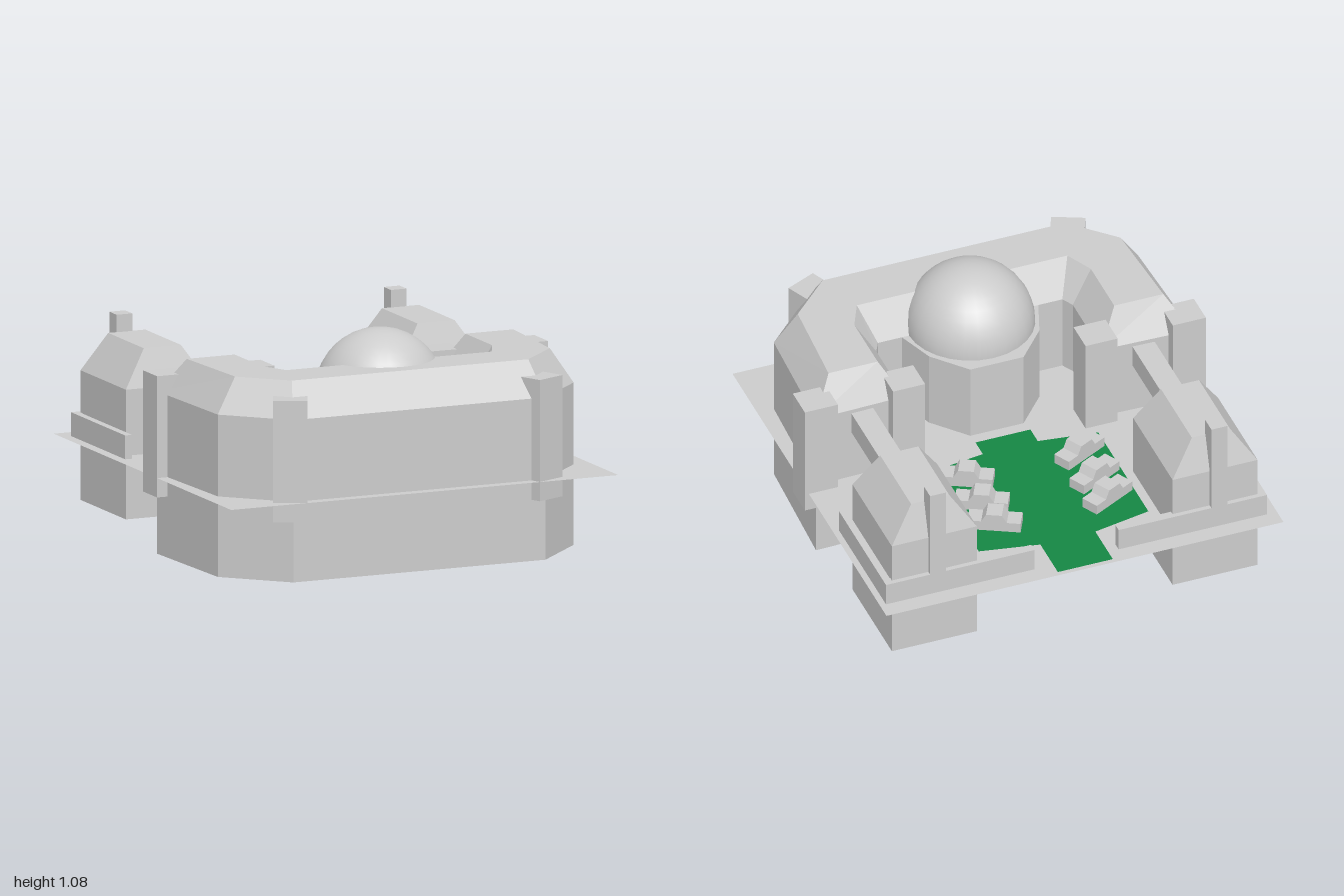
import * as THREE from 'three';

const CX = -0.013; // symmetry line of the main building
const grey = new THREE.MeshStandardMaterial({ color: 0xcccccc, flatShading: true });
const smooth = new THREE.MeshStandardMaterial({ color: 0xcccccc });
const sheet = new THREE.MeshStandardMaterial({ color: 0xcccccc, side: THREE.DoubleSide });
const green = new THREE.MeshStandardMaterial({ color: 0x158644, side: THREE.DoubleSide });

function add(parent, name, geometry, material = grey) {
  const mesh = new THREE.Mesh(geometry, material);
  mesh.name = name;
  parent.add(mesh);
  return mesh;
}

// Axis-aligned box given by its limits
function box(parent, name, [x0, x1], [y0, y1], [z0, z1]) {
  const mesh = add(parent, name, new THREE.BoxGeometry(Math.abs(x1 - x0), y1 - y0, z1 - z0));
  mesh.position.set((x0 + x1) / 2, (y0 + y1) / 2, (z0 + z1) / 2);
  return mesh;
}

// Completes an outline of [x, z] points by mirroring it across x = cx
const mirrored = (half, cx) => [
  ...half.map(([x, z]) => [cx + x, z]),
  ...half.slice().reverse().map(([x, z]) => [cx - x, z]),
];

// Closed solid through stacked outlines, counter-clockwise from above: [{ y, pts }]
function loft(rings) {
  const v = [];
  const put = (r, i) => v.push(r.pts[i][0], r.y, r.pts[i][1]);
  const n = rings[0].pts.length;
  for (let k = 0; k < rings.length - 1; k++) {
    const a = rings[k], b = rings[k + 1];
    for (let i = 0; i < n; i++) {
      const j = (i + 1) % n;
      put(a, i); put(a, j); put(b, j);
      put(a, i); put(b, j); put(b, i);
    }
  }
  const cap = (r, up) => {
    const flat = r.pts.map(([x, z]) => new THREE.Vector2(x, -z));
    for (const [a, b, c] of THREE.ShapeUtils.triangulateShape(flat, [])) {
      (up ? [a, b, c] : [a, c, b]).forEach((i) => put(r, i));
    }
  };
  cap(rings[0], false);
  cap(rings[rings.length - 1], true);
  const geo = new THREE.BufferGeometry();
  geo.setAttribute('position', new THREE.Float32BufferAttribute(v, 3));
  geo.computeVertexNormals();
  return geo;
}

const rect = (cx, w, z0, z1) => mirrored([[w, z1], [w, z0]], cx);

function mainBuilding(parent) {
  // U-shaped hall with a sloping roof edge
  const wall = mirrored([[0.645, 0.93], [0.91, 0.665], [0.938, 0.05], [0.49, 0.062], [0.49, 0.43], [0.46, 0.487]], CX);
  const roof = mirrored([[0.605, 0.825], [0.805, 0.628], [0.835, 0.155], [0.59, 0.155], [0.59, 0.455], [0.525, 0.59]], CX);
  add(parent, 'hall', loft([{ y: 0, pts: wall }, { y: 0.77, pts: wall }, { y: 0.935, pts: roof }]));

  // Faceted drum and dome
  const drum = mirrored([[0.345, 0.5], [0.275, 0.305], [0.133, 0.142]], CX);
  add(parent, 'domeDrum', loft([{ y: 0, pts: drum }, { y: 0.77, pts: drum }]));
  const dome = add(parent, 'dome', new THREE.SphereGeometry(0.305, 28, 10, 0, Math.PI * 2, 0, Math.PI / 2), smooth);
  dome.position.set(CX, 0.77, 0.49);

  for (const s of [-1, 1]) {
    // Pillars at the ends of each wing and at the front corners
    box(parent, 'outerPillar', [s * 0.835, s], [0.29, 0.865], [0, 0.155]);
    box(parent, 'innerPillar', [s * 0.4, s * 0.56], [0.29, 0.865], [0, 0.155]);
    const pillar = add(parent, 'frontPillar', new THREE.BoxGeometry(0.16, 0.575, 0.125));
    pillar.position.set(CX + s * 0.642, 0.5775, 0.888);
    pillar.rotation.y = s * 0.42;
  }
}

function rearPods(parent) {
  for (const s of [-1, 1]) {
    const side = new THREE.Group();
    side.name = s < 0 ? 'rightPod' : 'leftPod';
    parent.add(side);

    // Pod with hipped top
    const x = s * 0.7;
    const base = rect(x, 0.212, -0.892, -0.385);
    const top = rect(x, 0.095, -0.838, -0.44);
    add(side, 'pod', loft([{ y: 0.08, pts: base }, { y: 0.695, pts: base }, { y: 0.872, pts: top }]));

    // Chimney and link corridor to the hall
    const cx = s < 0 ? -0.713 : 0.69;
    box(side, 'chimney', [cx - 0.04, cx + 0.04], [0.375, 0.955], [-0.915, -0.835]);
    box(side, 'corridor', [cx - 0.053, cx + 0.057], [0.64, 0.75], [-0.42, 0.2]);

    // Perimeter walls
    box(side, 'rearWall', [s * 0.21, s * 0.95], [0.375, 0.495], [-0.915, -0.872]);
    box(side, 'sideWall', [s * 0.915, s * 0.95], [0.375, 0.495], [-0.915, -0.31]);
  }
}

function cars(parent) {
  // Car side profile: low body with a tapered cabin
  const profile = new THREE.Shape([
    [-0.125, 0], [0.125, 0], [0.125, 0.05], [0.06, 0.05], [0.037, 0.09],
    [-0.037, 0.09], [-0.06, 0.05], [-0.125, 0.05],
  ].map(([x, y]) => new THREE.Vector2(x, y)));
  const geo = new THREE.ExtrudeGeometry(profile, { depth: 0.09, bevelEnabled: false });
  geo.translate(0, 0, -0.045);
  for (const s of [-1, 1]) {
    for (const z of [-0.555, -0.39, -0.195]) {
      const car = add(parent, 'parkedCar', geo);
      car.position.set(CX + s * 0.28, 0.4, z);
      car.rotation.y = -s * 0.48;
    }
  }
}

export function createModel() {
  const model = new THREE.Group();
  model.name = 'compound';

  // Ground sheet
  const ground = add(model, 'groundSheet', new THREE.PlaneGeometry(1.98, 1.98), sheet);
  ground.rotation.x = -Math.PI / 2;
  ground.position.set(-0.01, 0.382, -0.008);

  // Green parking court with driveway
  const court = mirrored([[0.137, 0.065], [0.137, -0.03], [0.423, -0.07], [0.423, -0.715], [0.137, -0.77], [0.137, -0.995]], CX);
  const shape = new THREE.Shape(court.map(([x, z]) => new THREE.Vector2(x, -z)));
  const yard = add(model, 'greenCourt', new THREE.ShapeGeometry(shape), green);
  yard.rotation.x = -Math.PI / 2;
  yard.position.y = 0.399;

  mainBuilding(model);
  rearPods(model);
  cars(model);
  return model;
}
